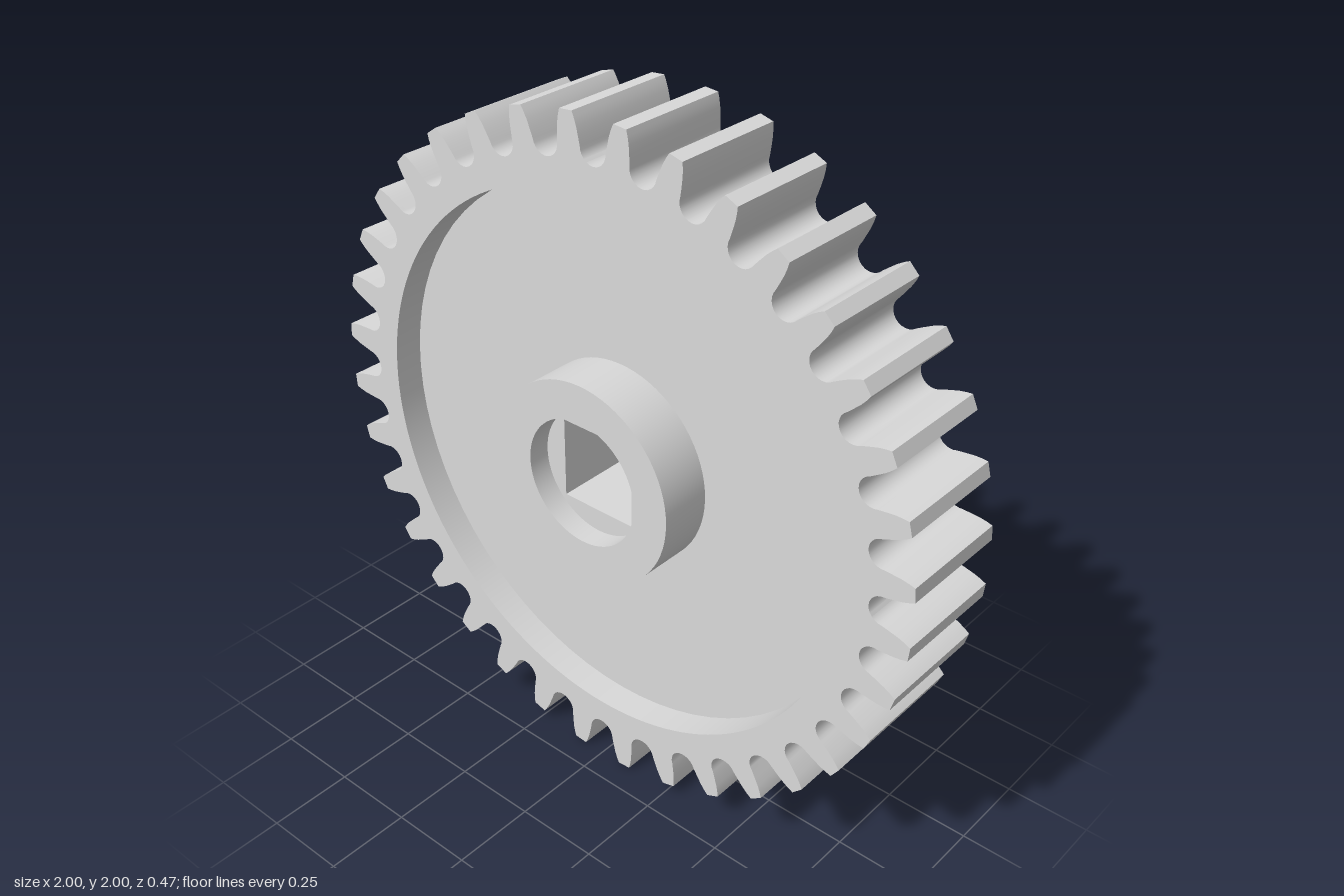
import * as THREE from 'three';
import { toCreasedNormals } from 'three/addons/utils/BufferGeometryUtils.js';

const TEETH = 36;
const RIM_Z = 0.17, WEB_Z = 0.08, HUB_Z = 0.237;   // half thicknesses
const RECESS_R = 0.8, HUB_R = 0.298, BORE_R = 0.187, SQUARE = 0.12;

// Half of one gap between teeth: [radial, sideways], from tooth tip to gap floor
function halfGap() {
  const pts = [[1.0, 0.067], [0.985, 0.06], [0.965, 0.053], [0.94, 0.047]];
  const r = 0.042, centre = 0.917;
  for (let i = 0; i <= 6; i++) {
    const a = (i / 6) * Math.PI / 2;
    pts.push([centre - r * Math.sin(a), r * Math.cos(a)]);
  }
  return pts;
}

// Closed toothed outline, with a gap centred on each axis
function toothedShape() {
  const half = halfGap();
  const gap = [
    ...half.map(([r, t]) => [r, -t]),
    ...half.slice(0, -1).reverse(),
  ];
  const points = [];
  for (let k = 0; k < TEETH; k++) {
    const a = (k / TEETH) * Math.PI * 2, c = Math.cos(a), s = Math.sin(a);
    for (const [r, t] of gap) points.push(new THREE.Vector2(r * c - t * s, r * s + t * c));
  }
  return new THREE.Shape(points);
}

function circle(Type, radius) {
  const path = new Type();
  path.absarc(0, 0, radius, 0, Math.PI * 2, false);
  return path;
}

// Extrusion centred on z = 0, smooth on curves and sharp at edges
function plate(shape, halfDepth) {
  const geo = new THREE.ExtrudeGeometry(shape, { depth: halfDepth * 2, bevelEnabled: false, curveSegments: 72 });
  geo.translate(0, 0, -halfDepth);
  return toCreasedNormals(geo, 0.5);
}

export function createModel() {
  const group = new THREE.Group();
  const steel = new THREE.MeshStandardMaterial({ color: 0xd9d9d9 });
  steel.name = 'light grey steel';

  // The wheel is built around its axle, which sits one radius above the ground
  const wheel = new THREE.Group();
  wheel.name = 'gearWheel';
  wheel.position.y = 1;
  group.add(wheel);

  const add = (name, geo, parent = wheel) => {
    const mesh = new THREE.Mesh(geo, steel);
    mesh.name = name;
    parent.add(mesh);
  };

  // Toothed rim
  const rim = toothedShape();
  rim.holes.push(circle(THREE.Path, RECESS_R));
  add('toothedRim', plate(rim, RIM_Z));

  // Core with the square shaft hole
  const core = circle(THREE.Shape, BORE_R);
  core.holes.push(new THREE.Path([
    new THREE.Vector2(-SQUARE, -SQUARE), new THREE.Vector2(-SQUARE, SQUARE),
    new THREE.Vector2(SQUARE, SQUARE), new THREE.Vector2(SQUARE, -SQUARE),
  ]));
  add('squareBore', plate(core, RIM_Z));

  // Recessed web and raised hub collar, the same on both sides
  const collarProfile = [
    [HUB_R, WEB_Z], [HUB_R, HUB_Z], [BORE_R, HUB_Z], [BORE_R, RIM_Z],
  ].map(([r, z]) => new THREE.Vector2(r, z));
  const collar = toCreasedNormals(new THREE.LatheGeometry(collarProfile, 72).rotateX(Math.PI / 2), 0.5);
  const web = new THREE.RingGeometry(HUB_R, RECESS_R, 72).translate(0, 0, WEB_Z);

  for (const [name, turn] of [['front', 0], ['back', Math.PI]]) {
    const side = new THREE.Group();
    side.name = name + 'Side';
    side.rotation.y = turn;
    add(name + 'Web', web, side);
    add(name + 'HubCollar', collar, side);
    wheel.add(side);
  }
  return group;
}
